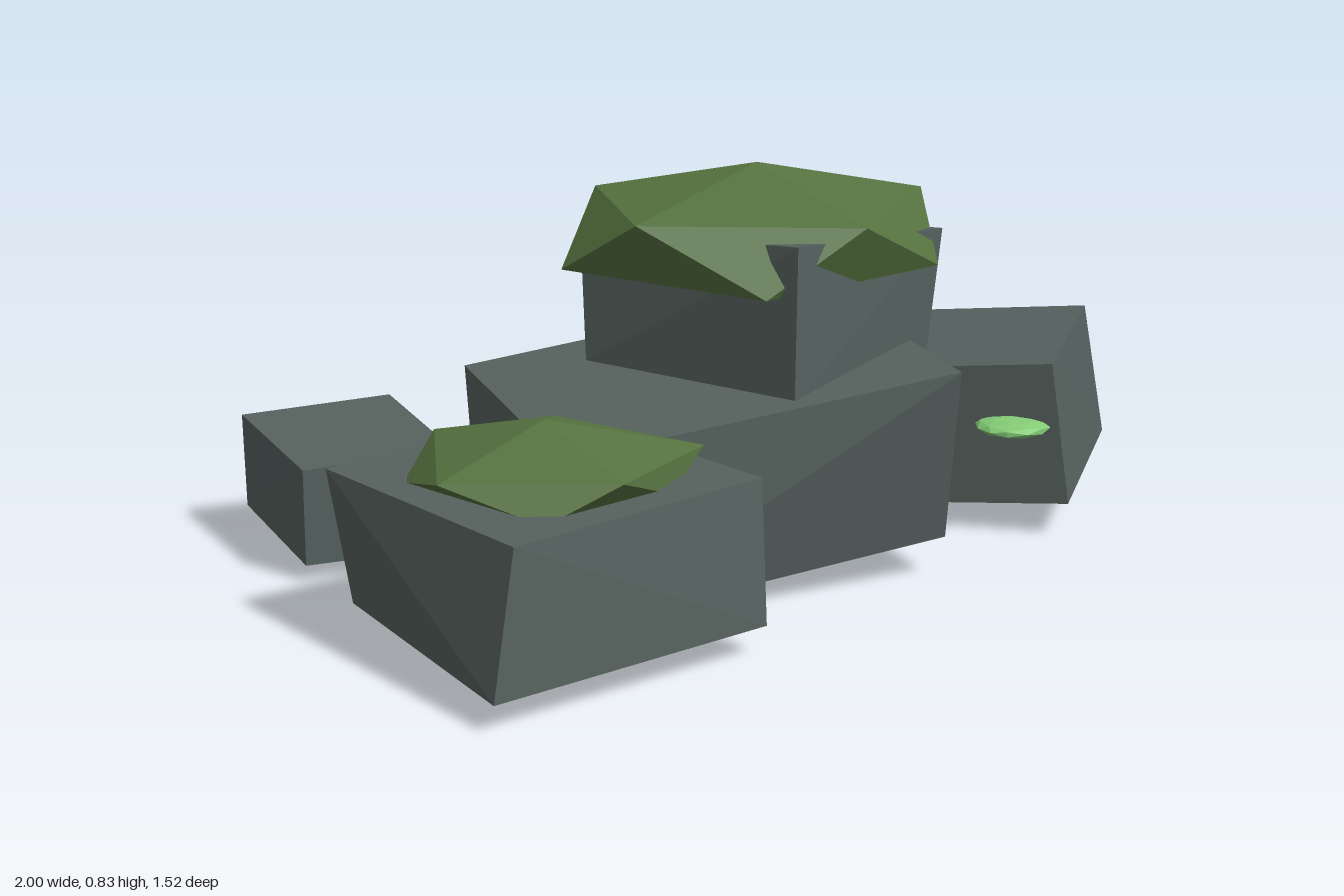
import * as THREE from 'three';
import { ConvexGeometry } from 'three/addons/geometries/ConvexGeometry.js';

// Faceted solid from its corner points
function solid(name, corners, material) {
  const geometry = new ConvexGeometry(corners.map((c) => new THREE.Vector3(...c)));
  const mesh = new THREE.Mesh(geometry, material);
  mesh.name = name;
  return mesh;
}

export function createModel() {
  const group = new THREE.Group();
  group.name = 'mossyRocks';
  const paint = (name, color) => {
    const m = new THREE.MeshStandardMaterial({ color, flatShading: true });
    m.name = name;
    return m;
  };
  const slate = paint('slate', 0x56625f);
  const moss = paint('moss', 0x567340);
  const sprout = paint('sprout', 0x84cc76);

  // Skewed blocks: four top corners, then four bottom corners
  const rocks = {
    centreRock: [
      [-0.5, 0.37, 0.32], [0.35, 0.465, 0.275], [0.3, 0.49, -0.42], [-0.55, 0.4, -0.33],
      [-0.46, 0.02, 0.31], [0.35, 0.09, 0.2], [0.31, 0.1, -0.42], [-0.53, 0.05, -0.33],
    ],
    upperRock: [
      [0.01, 0.74, 0.24], [0.42, 0.7, -0.02], [0.08, 0.655, -0.55], [-0.3, 0.69, -0.29],
      [0, 0.42, 0.25], [0.38, 0.4, -0.01], [0.08, 0.4, -0.48], [-0.31, 0.42, -0.22],
    ],
    frontRock: [
      [-0.93, 0.345, 0.15], [-0.69, 0.345, 0.73], [-0.15, 0.355, 0.5], [-0.38, 0.35, -0.06],
      [-0.89, 0.07, 0.17], [-0.74, 0.06, 0.76], [-0.15, 0.065, 0.53], [-0.36, 0.07, -0.04],
    ],
    backRock: [
      [0.94, 0.4, -0.42], [0.66, 0.395, 0.03], [0.13, 0.34, -0.31], [0.41, 0.345, -0.755],
      [1, 0.09, -0.43], [0.7, 0.08, 0.045], [0.19, 0.04, -0.28], [0.45, 0.005, -0.76],
    ],
    smallRock: [
      [-1, 0.27, -0.55], [-0.67, 0.28, -0.58], [-0.61, 0.26, -0.19], [-0.93, 0.25, -0.16],
      [-1, 0.07, -0.53], [-0.66, 0.07, -0.56], [-0.61, 0.04, -0.2], [-0.93, 0.04, -0.17],
    ],
  };
  for (const [name, corners] of Object.entries(rocks)) group.add(solid(name, corners, slate));

  // Moss caps: peak, upper ring, lower ring, underside
  group.add(solid('upperMoss', [
    [0.05, 0.84, -0.15],
    [0.42, 0.765, -0.15], [0.17, 0.76, 0.2], [-0.28, 0.77, 0.08], [-0.25, 0.77, -0.35], [0.16, 0.765, -0.44],
    [0.38, 0.64, 0.06], [-0.05, 0.63, 0.22], [-0.38, 0.64, -0.14], [-0.05, 0.64, -0.44], [0.41, 0.64, -0.37],
    [0.03, 0.57, -0.13],
  ], moss));
  group.add(solid('frontMoss', [
    [-0.54, 0.465, 0.35],
    [-0.46, 0.4, 0.11], [-0.22, 0.385, 0.35], [-0.45, 0.4, 0.6], [-0.78, 0.4, 0.5], [-0.71, 0.4, 0.13],
    [-0.32, 0.33, 0.24], [-0.32, 0.33, 0.47], [-0.6, 0.33, 0.59], [-0.8, 0.34, 0.27], [-0.57, 0.33, 0.09],
    [-0.54, 0.28, 0.35],
  ], moss));

  // Small flattened sprout on the side of the back rock
  const tuft = new THREE.Mesh(new THREE.IcosahedronGeometry(0.082, 1), sprout);
  tuft.name = 'sproutTuft';
  tuft.scale.y = 0.24;
  tuft.position.set(0.59, 0.252, -0.015);
  group.add(tuft);

  return group;
}
